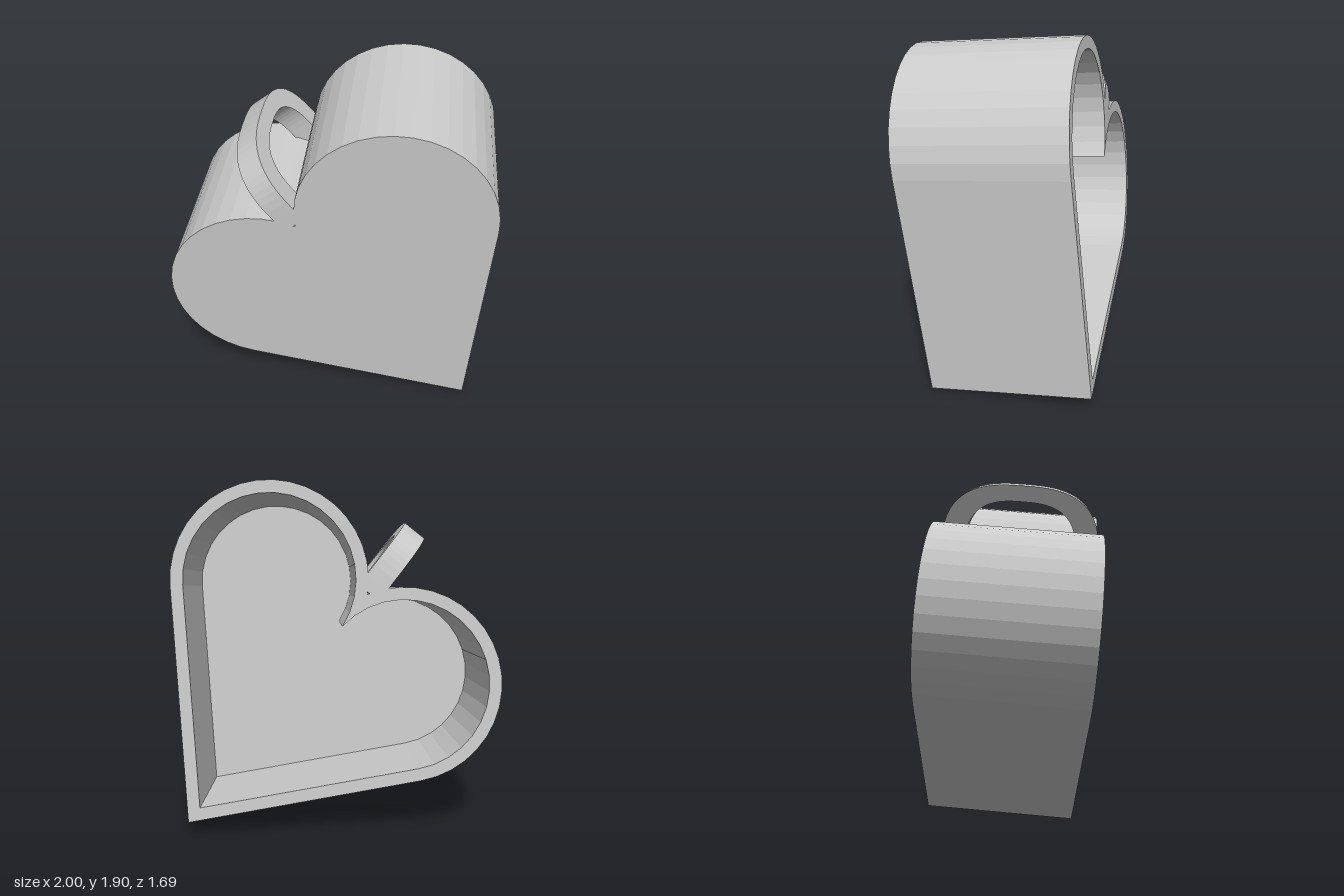
import * as THREE from 'three';

const LOBE_X = 0.455;   // sideways offset of each lobe centre
const RADIUS = 0.524;   // outer lobe radius
const TIP = -1.295;     // height of the pointed end below the lobe centres
const DEPTH = 0.892, FLOOR = 0.14, WALL = 0.067;
const HANDLE_WIDTH = 0.138;

// Heart outline: two lobes with tangent sides meeting at the tip, offset inward by inset
function heartPoints(inset) {
  const r = RADIUS - inset, n = 20;
  const half = Math.atan2(LOBE_X, -TIP) + Math.asin(RADIUS / Math.hypot(LOBE_X, TIP));
  const notch = Math.PI - Math.acos(LOBE_X / r);
  const right = [];
  for (let i = 0; i <= n; i++) {
    const a = -half + ((notch + half) * i) / n;
    right.push(new THREE.Vector2(LOBE_X + r * Math.cos(a), r * Math.sin(a)));
  }
  // Mirror the right lobe, sharing the notch point
  const left = right.slice(0, n).reverse().map((p) => new THREE.Vector2(-p.x, p.y));
  return [new THREE.Vector2(0, TIP + inset / Math.sin(half)), ...right, ...left];
}

// Rounded arch used for both edges of the handle
function archPoints(halfSpan, rise, base, foot) {
  const pts = [new THREE.Vector2(halfSpan, foot)];
  const n = 32, e = 2 / 2.8;
  for (let i = 0; i <= n; i++) {
    const a = (Math.PI * i) / n;
    const c = Math.cos(a), s = Math.max(0, Math.sin(a));
    pts.push(new THREE.Vector2(Math.sign(c) * halfSpan * Math.abs(c) ** e, base + rise * s ** e));
  }
  pts.push(new THREE.Vector2(-halfSpan, foot));
  return pts;
}

export function createModel() {
  const model = new THREE.Group();
  model.name = 'heartBox';
  const body = new THREE.Group();
  body.name = 'body';
  model.add(body);
  const material = new THREE.MeshStandardMaterial({ color: 0xcccccc });
  const add = (name, geometry) => {
    const mesh = new THREE.Mesh(geometry, material);
    mesh.name = name;
    body.add(mesh);
  };

  // Solid front plate
  const plate = new THREE.ExtrudeGeometry(new THREE.Shape(heartPoints(0)),
    { depth: FLOOR, bevelEnabled: false });
  add('frontPlate', plate.translate(0, 0, -FLOOR));

  // Side wall, open at the back
  const rim = new THREE.Shape(heartPoints(0));
  rim.holes.push(new THREE.Path(heartPoints(WALL)));
  const wall = new THREE.ExtrudeGeometry(rim, { depth: DEPTH - FLOOR, bevelEnabled: false });
  add('sideWall', wall.translate(0, 0, -DEPTH));

  // Arched handle standing in the notch, running front to back
  const outer = archPoints(DEPTH / 2, 0.385, 0.335, 0.27);
  const inner = archPoints(DEPTH / 2 - 0.13, 0.295, 0.335, 0.27).reverse();
  const handle = new THREE.ExtrudeGeometry(new THREE.Shape([...outer, ...inner]),
    { depth: HANDLE_WIDTH, bevelEnabled: false });
  handle.translate(0, 0, -HANDLE_WIDTH / 2).rotateY(Math.PI / 2);
  add('handle', handle.translate(0, 0, -DEPTH / 2));

  // Tilt the whole body so that it rests on its tip
  const side = new THREE.Vector3(0.70, 0.615, -0.36).normalize();
  const front = side.clone().cross(new THREE.Vector3(-0.492, 0.78, 0.384)).normalize();
  const up = front.clone().cross(side);
  body.quaternion.setFromRotationMatrix(new THREE.Matrix4().makeBasis(side, up, front));
  body.position.set(0.228, 1.014, 0.407);
  return model;
}
